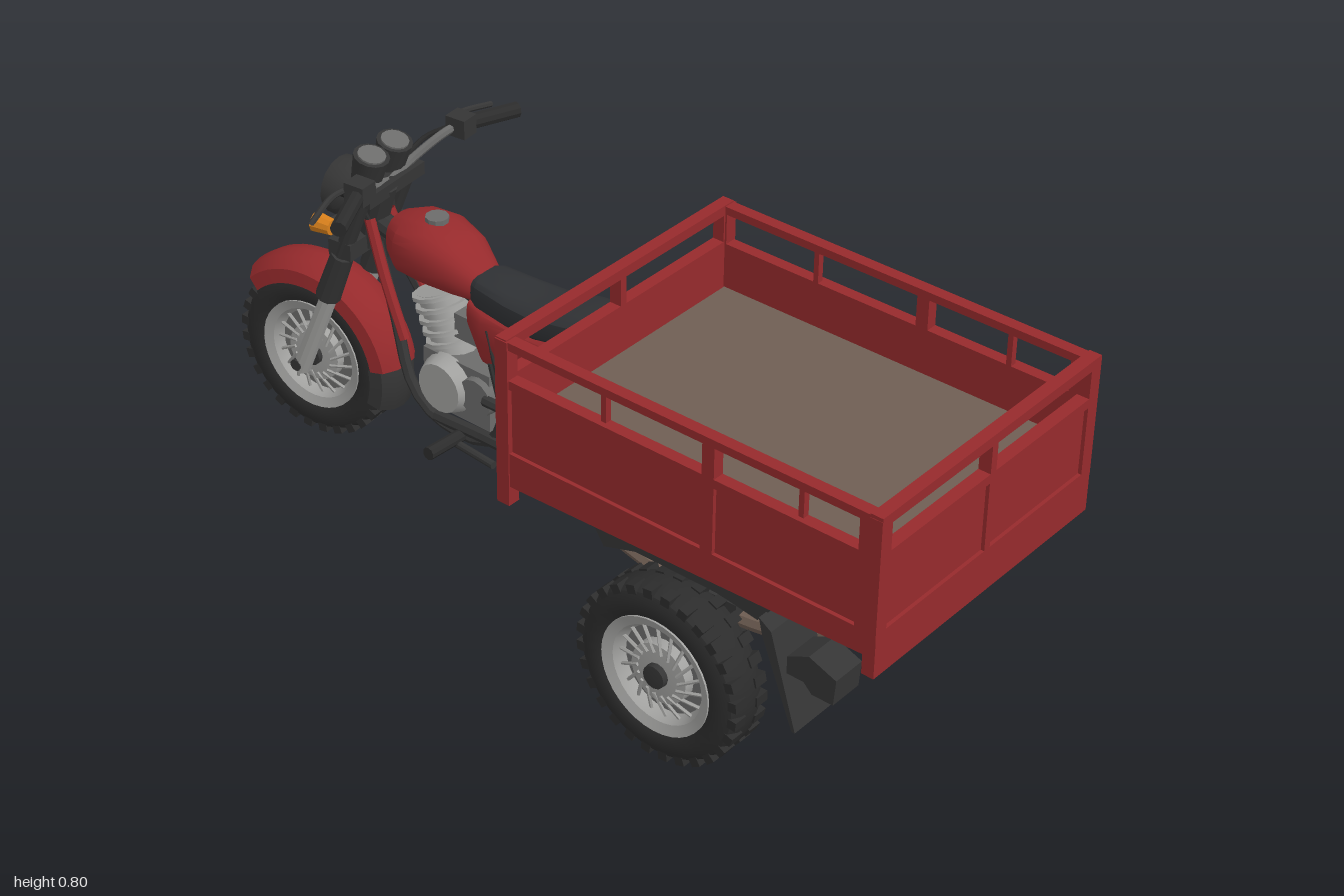
import * as THREE from 'three';
import { mergeGeometries, toCreasedNormals } from 'three/addons/utils/BufferGeometryUtils.js';

const V = (p) => new THREE.Vector3(...p);

export function createModel() {
  const mat = (name, color, side = THREE.FrontSide) => {
    const m = new THREE.MeshStandardMaterial({ color, side });
    m.name = name;
    return m;
  };
  const red = mat('red paint', 0x962a2c, THREE.DoubleSide);
  const black = mat('black metal', 0x353535, THREE.DoubleSide);
  const rubber = mat('rubber', 0x2c2c2c);
  const leather = mat('seat vinyl', 0x303235);
  const silver = mat('silver metal', 0xa2a2a0);
  const grey = mat('dark grey metal', 0x6c6c6b);
  const brown = mat('brown boards', 0x6f5e53);
  const orange = mat('orange lens', 0xd8801c);
  const glass = mat('lamp glass', 0x98999a);

  // Helpers
  const add = (parent, name, geo, material) => {
    const mesh = new THREE.Mesh(toCreasedNormals(geo, 0.6), material);
    mesh.name = name;
    parent.add(mesh);
    return mesh;
  };
  const group = (parent, name, x = 0, y = 0, z = 0) => {
    const g = new THREE.Group();
    g.name = name;
    g.position.set(x, y, z);
    parent.add(g);
    return g;
  };
  const boxGeo = (x0, x1, y0, y1, z0, z1) => new THREE.BoxGeometry(x1 - x0, y1 - y0, z1 - z0)
    .translate((x0 + x1) / 2, (y0 + y1) / 2, (z0 + z1) / 2);
  const box = (parent, name, m, ...b) => add(parent, name, boxGeo(...b), m);
  const rodGeo = (a, b, r, r2 = r, n = 10) => {
    const d = V(b).sub(V(a));
    const q = new THREE.Quaternion().setFromUnitVectors(new THREE.Vector3(0, 1, 0), d.clone().normalize());
    return new THREE.CylinderGeometry(r2, r, d.length(), n).applyQuaternion(q).translate(...V(a).addScaledVector(d, 0.5).toArray());
  };
  const rod = (parent, name, m, a, b, r, r2, n) => add(parent, name, rodGeo(a, b, r, r2, n), m);
  const tube = (parent, name, m, pts, r) => add(parent, name,
    new THREE.TubeGeometry(new THREE.CatmullRomCurve3(pts.map(V)), 20, r, 7), m);
  const plate = (parent, name, m, pts, z0, z1) => add(parent, name,
    new THREE.ExtrudeGeometry(new THREE.Shape(pts.map((p) => new THREE.Vector2(...p))), { depth: z1 - z0, bevelEnabled: false })
      .translate(0, 0, z0), m);
  // Lathe turned so that its axis is z; angles are measured from +x
  const turned = (pts, n, from = 0, len = Math.PI * 2) => new THREE.LatheGeometry(
    pts.map((p) => new THREE.Vector2(...p)), n, from + Math.PI / 2, len).rotateX(Math.PI / 2);
  // Skin over rounded sections [x, bottom, top, half width]
  const loft = (parent, name, m, sections, power = 0.7, n = 16) => {
    const pos = [], idx = [];
    const bend = (v) => Math.sign(v) * Math.abs(v) ** power;
    for (const [x, y0, y1, w] of sections) for (let j = 0; j < n; j++) {
      const a = j / n * Math.PI * 2;
      pos.push(x, (y0 + y1) / 2 + (y1 - y0) / 2 * bend(Math.sin(a)), w * bend(Math.cos(a)));
    }
    const last = (sections.length - 1) * n;
    for (let i = 0; i < last; i += n) for (let j = 0; j < n; j++) {
      const k = (j + 1) % n;
      idx.push(i + j, i + n + j, i + n + k, i + j, i + n + k, i + k);
    }
    for (let j = 1; j < n - 1; j++) idx.push(0, j, j + 1, last, last + j + 1, last + j);
    const g = new THREE.BufferGeometry();
    g.setAttribute('position', new THREE.Float32BufferAttribute(pos, 3));
    g.setIndex(idx);
    return add(parent, name, g, m);
  };

  const model = new THREE.Group();
  model.name = 'cargo tricycle';

  // Wheels: treaded tyre, rim, spokes and hub
  const wheel = (parent, name, x, z, w) => {
    const g = group(parent, name, x, 0.205, z);
    add(g, 'tyre', turned([[0.12, -w * 0.7], [0.14, -w * 0.95], [0.17, -w], [0.187, -w * 0.85], [0.197, -w * 0.45], [0.198, 0],
      [0.197, w * 0.45], [0.187, w * 0.85], [0.17, w], [0.14, w * 0.95], [0.12, w * 0.7], [0.12, -w * 0.7]], 36), rubber);
    const lugs = [], spokes = [];
    for (let i = 0; i < 28; i++) for (const s of [-1, 1]) {
      lugs.push(boxGeo(0.176, 0.201, -0.011, 0.011, -w * 0.3, w * 0.3).translate(0, 0, s * w * 0.6)
        .rotateZ((i + (s > 0 ? 0.5 : 0)) / 28 * Math.PI * 2));
    }
    add(g, 'tread lugs', mergeGeometries(lugs), rubber);
    add(g, 'rim', turned([[0.112, -w * 0.8], [0.134, -w * 0.96], [0.134, w * 0.96], [0.112, w * 0.8], [0.1, w * 0.4],
      [0.1, -w * 0.4], [0.112, -w * 0.8]], 36), silver);
    for (let i = 0; i < 18; i++) for (const s of [-1, 1]) {
      const a = i / 18 * Math.PI * 2, b = a + 0.3 * s;
      spokes.push(rodGeo([0.05 * Math.cos(a), 0.05 * Math.sin(a), s * w * 0.75], [0.108 * Math.cos(b), 0.108 * Math.sin(b), s * w * 0.5], 0.004, 0.004, 5));
    }
    add(g, 'spokes', mergeGeometries(spokes), silver);
    add(g, 'wheel disc', turned([[0, -w * 0.3], [0.102, -w * 0.3], [0.102, w * 0.3], [0, w * 0.3]], 30), grey);
    add(g, 'brake drum', turned([[0, -w * 0.8], [0.068, -w * 0.7], [0.072, 0], [0.068, w * 0.7], [0, w * 0.8]], 24), silver);
    add(g, 'hub', turned([[0, -w * 1.05], [0.026, -w], [0.03, 0], [0.026, w], [0, w * 1.05]], 12), black);
  };
  for (const s of [-1, 1]) wheel(model, 'rearWheel', 0.52, s * 0.354, 0.054);

  // Cargo box
  const cargo = group(model, 'cargoBox');
  box(cargo, 'underbody', red, 0.09, 0.97, 0.46, 0.575, -0.335, 0.335);
  box(cargo, 'floor', brown, 0.1, 0.965, 0.575, 0.583, -0.33, 0.33);
  for (const s of [-1, 1]) {
    const side = group(cargo, 'sidePanel');
    const bar = (n, x0, x1, y0, y1, t = 0.352) => box(side, n, red, x0, x1, y0, y1, Math.min(s * 0.325, s * t), Math.max(s * 0.325, s * t));
    bar('panel', 0.08, 0.97, 0.5, 0.68, 0.343);
    plate(side, 'skirt', red, [[0.08, 0.435], [0.97, 0.46], [0.97, 0.515], [0.08, 0.515]], s * 0.337 - 0.015, s * 0.337 + 0.015);
    bar('panelLip', 0.08, 0.97, 0.667, 0.687);
    bar('topRail', 0.08, 0.97, 0.757, 0.775);
    bar('middleStile', 0.583, 0.612, 0.5, 0.77);
    bar('railPost', 0.328, 0.34, 0.68, 0.77, 0.34);
    bar('railPost', 0.8, 0.812, 0.68, 0.77, 0.34);
    bar('frontPost', 0.07, 0.102, 0.39, 0.775, 0.355);
    bar('rearPost', 0.945, 0.97, 0.46, 0.775);
  }
  const endPanel = (name, x0, x1, out, bottom) => {
    const g = group(cargo, name);
    const inset = out > 0 ? [x0, x1 - 0.008] : [x0 + 0.008, x1];
    box(g, 'panel', red, ...inset, 0.5, 0.68, -0.33, 0.33);
    box(g, 'skirt', red, x0, x1, bottom, 0.515, -0.352, 0.352);
    box(g, 'panelLip', red, x0, x1, 0.671, 0.692, -0.352, 0.352);
    box(g, 'topRail', red, x0, x1, 0.755, 0.778, -0.352, 0.352);
    for (const z of [-0.337, 0, 0.337]) box(g, 'stile', red, x0, x1, 0.5, 0.77, z - (z ? 0.016 : 0.009), z + (z ? 0.016 : 0.009));
  };
  endPanel('headboard', 0.07, 0.098, -1, 0.44);
  endPanel('tailgate', 0.967, 0.995, 1, 0.415);

  // Rear chassis with axle, leaf springs and mudflaps
  const chassis = group(model, 'chassis');
  for (const s of [-1, 1]) {
    plate(chassis, 'frameRail', black, [[0.1, 0.46], [0.95, 0.46], [0.86, 0.39], [0.74, 0.38], [0.64, 0.43], [0.4, 0.43], [0.3, 0.38], [0.24, 0.4]], s * 0.18 - 0.02, s * 0.18 + 0.02);
    tube(chassis, 'leafSpring', brown, [[0.1, 0.34, s * 0.18], [0.25, 0.28, s * 0.18], [0.5, 0.235, s * 0.18], [0.68, 0.26, s * 0.18], [0.8, 0.31, s * 0.18]], 0.018);
    box(chassis, 'springClamp', black, 0.48, 0.56, 0.16, 0.28, s * 0.18 - 0.022, s * 0.18 + 0.022);
    rod(chassis, 'springBolt', grey, [0.52, 0.14, s * 0.18], [0.52, 0.17, s * 0.18], 0.022);
    rod(chassis, 'springHanger', black, [0.8, 0.3, s * 0.18], [0.83, 0.42, s * 0.18], 0.02);
    rod(chassis, 'strut', black, [0.23, 0.25, s * 0.1], [0.27, 0.45, s * 0.17], 0.018);
    rod(chassis, 'shock', black, [0.52, 0.18, s * 0.24], [0.52, 0.28, s * 0.24], 0.017);
    tube(chassis, 'lowerRail', black, [[-0.4, 0.22, s * 0.06 - 0.03], [-0.2, 0.235, s * 0.07 - 0.03], [0.1, 0.25, s * 0.09 - 0.01], [0.36, 0.24, s * 0.1]], 0.015);
    plate(chassis, 'wheelArch', black, [[0.3, 0.46], [0.76, 0.46], [0.72, 0.41], [0.62, 0.425], [0.42, 0.425], [0.34, 0.4]], s * 0.3 - 0.045, s * 0.3 + 0.045);
    plate(chassis, 'mudflap', black, [[0.74, 0.44], [0.77, 0.42], [0.835, 0.21], [0.827, 0.21], [0.75, 0.4]], s * 0.308 - 0.06, s * 0.308 + 0.06);
    plate(chassis, 'rearLamp', black, [[0.8, 0.33], [0.84, 0.33], [0.86, 0.31], [0.91, 0.31], [0.915, 0.37], [0.85, 0.395], [0.8, 0.37]], s * 0.315 - 0.04, s * 0.315 + 0.04);
    rod(chassis, 'lampBracket', black, [0.83, 0.35, s * 0.2], [0.83, 0.35, s * 0.3], 0.012);
  }
  rod(chassis, 'axle', black, [0.52, 0.205, -0.34], [0.52, 0.205, 0.34], 0.022);
  loft(chassis, 'differential', black, [[0.42, 0.17, 0.24, 0.02], [0.47, 0.145, 0.26, 0.05], [0.56, 0.145, 0.26, 0.05], [0.61, 0.17, 0.24, 0.02]]);
  rod(chassis, 'driveShaft', black, [-0.2, 0.27, -0.03], [0.45, 0.21, 0], 0.016);
  box(chassis, 'rearCrossBeam', black, 0.78, 0.83, 0.315, 0.38, -0.2, 0.2);
  box(chassis, 'frontCrossBeam', black, 0.2, 0.25, 0.39, 0.45, -0.2, 0.2);
  box(chassis, 'lowerCrossBeam', black, 0.2, 0.24, 0.23, 0.27, -0.13, 0.13);
  rod(chassis, 'muffler', brown, [0.02, 0.25, -0.13], [0.36, 0.29, -0.14], 0.026, 0.032, 12);

  // Motorcycle body
  const bike = group(model, 'motorcycle', 0, 0, -0.03);
  loft(bike, 'fuelTank', red, [[-0.555, 0.575, 0.625, 0.025], [-0.545, 0.545, 0.65, 0.05], [-0.5, 0.53, 0.667, 0.08], [-0.43, 0.53, 0.672, 0.086],
    [-0.36, 0.53, 0.65, 0.072], [-0.31, 0.53, 0.61, 0.05], [-0.29, 0.53, 0.59, 0.035]], 0.8, 20);
  rod(bike, 'fuelCap', grey, [-0.44, 0.665, 0], [-0.44, 0.679, 0], 0.026);
  loft(bike, 'seat', leather, [[-0.32, 0.535, 0.595, 0.04], [-0.29, 0.525, 0.603, 0.055], [-0.2, 0.52, 0.6, 0.066], [-0.12, 0.525, 0.602, 0.072],
    [-0.03, 0.545, 0.622, 0.076], [0.015, 0.56, 0.628, 0.072], [0.035, 0.575, 0.615, 0.055]], 0.6);
  loft(bike, 'sideCover', red, [[-0.32, 0.47, 0.54, 0.045], [-0.27, 0.4, 0.535, 0.062], [-0.18, 0.395, 0.53, 0.068], [-0.1, 0.415, 0.53, 0.068], [-0.02, 0.5, 0.56, 0.055]], 0.5);
  rod(bike, 'backbone', black, [-0.6, 0.6, 0], [-0.28, 0.52, 0], 0.025);
  rod(bike, 'headTube', black, [-0.64, 0.54, 0], [-0.59, 0.7, 0], 0.028);
  for (const s of [-1, 1]) {
    tube(bike, 'cradle', black, [[-0.6, 0.56, s * 0.02], [-0.53, 0.42, s * 0.045], [-0.47, 0.27, s * 0.06], [-0.4, 0.215, s * 0.06], [-0.25, 0.22, s * 0.06], [-0.2, 0.33, s * 0.06], [-0.25, 0.5, s * 0.05]], 0.013);
    tube(bike, 'redDownTube', red, [[-0.61, 0.62, s * 0.03], [-0.56, 0.5, s * 0.042], [-0.5, 0.37, s * 0.05]], 0.013);
    rod(bike, 'rearPost', black, [-0.02, 0.55, s * 0.05], [-0.02, 0.26, s * 0.07], 0.014);
    rod(bike, 'rearStay', black, [-0.24, 0.42, s * 0.05], [-0.17, 0.25, s * 0.07], 0.014);
    tube(bike, 'upperStay', black, [[-0.25, 0.33, s * 0.07], [-0.1, 0.33, s * 0.07], [0.1, 0.34, s * 0.08], [0.24, 0.33, s * 0.1]], 0.013);
    rod(bike, 'footPeg', rubber, [-0.32, 0.21, s * 0.07], [-0.32, 0.215, s * 0.175], 0.015);
    rod(bike, 'pedal', black, [-0.32, 0.2, s * 0.09], [-0.2, 0.2, s * 0.1], 0.009);
    rod(bike, 'engineCover', silver, [-0.37, 0.315, s * 0.05], [-0.37, 0.315, s * 0.085], 0.072, 0.058, 18);
    rod(bike, 'clutchCover', grey, [-0.28, 0.32, s * 0.03], [-0.28, 0.32, s * 0.07], 0.05, 0.045, 14);
  }
  box(bike, 'crankcase', grey, -0.44, -0.25, 0.24, 0.38, -0.055, 0.055);
  rod(bike, 'cylinder', silver, [-0.39, 0.36, 0], [-0.44, 0.5, 0], 0.05, 0.05, 12);
  for (let i = 0; i < 5; i++) {
    rod(bike, 'coolingFin', silver, [-0.401 - i * 0.009, 0.39 + i * 0.025, 0], [-0.404 - i * 0.009, 0.399 + i * 0.025, 0], 0.062, 0.062, 12);
  }
  box(bike, 'carburettor', grey, -0.37, -0.29, 0.42, 0.48, -0.03, 0.03);
  tube(bike, 'exhaust', grey, [[-0.46, 0.44, -0.03], [-0.52, 0.38, -0.06], [-0.47, 0.26, -0.09], [-0.3, 0.22, -0.1], [0.05, 0.25, -0.1]], 0.017);

  // Steered front end: wheel, fork, mudguard, lamp and handlebar
  const steering = group(model, 'frontEnd', -0.72, 0, -0.033);
  steering.rotation.y = 0.1;
  const front = group(steering, 'steeredParts', 0.72, 0, 0);
  wheel(front, 'frontWheel', -0.8, 0, 0.048);
  const guard = [[0.185, -0.062], [0.218, -0.058], [0.238, -0.03], [0.243, 0], [0.238, 0.03], [0.218, 0.058], [0.185, 0.062]];
  add(front, 'mudguard', turned(guard, 22, 0.16, 2.2).translate(-0.8, 0.205, 0), red);
  add(front, 'mudguardFlap', turned(guard.map(([r, z]) => [r * 0.97, z]), 6, -0.32, 0.5).translate(-0.8, 0.205, 0), black);
  for (const s of [-1, 1]) {
    const z = s * 0.078;
    rod(front, 'forkSlider', silver, [-0.8, 0.19, z], [-0.7, 0.43, z], 0.021, 0.019);
    rod(front, 'forkBoot', black, [-0.712, 0.41, z], [-0.665, 0.53, z], 0.029, 0.026);
    rod(front, 'forkTube', black, [-0.67, 0.52, z], [-0.595, 0.71, z], 0.019);
    rod(front, 'signalStalk', black, [-0.65, 0.635, s * 0.05], [-0.66, 0.635, s * 0.12], 0.008);
    rod(front, 'turnSignal', orange, [-0.685, 0.635, s * 0.138], [-0.64, 0.635, s * 0.138], 0.023, 0.018);
    tube(front, 'handlebar', grey, [[-0.59, 0.7, 0], [-0.59, 0.715, s * 0.06], [-0.55, 0.765, s * 0.14], [-0.53, 0.778, s * 0.18], [-0.485, 0.77, s * 0.3]], 0.01);
    rod(front, 'grip', rubber, [-0.522, 0.775, s * 0.2], [-0.48, 0.768, s * 0.31], 0.018);
    box(front, 'switchBox', black, -0.555, -0.505, 0.755, 0.8, s * 0.175 - 0.022, s * 0.175 + 0.022);
    tube(front, 'lever', black, [[-0.55, 0.78, s * 0.17], [-0.565, 0.775, s * 0.22], [-0.55, 0.76, s * 0.31]], 0.007);
    tube(front, 'cable', rubber, [[-0.55, 0.77, s * 0.17], [-0.61, 0.73, s * 0.14], [-0.63, 0.66, s * 0.06], [-0.6, 0.56, s * 0.03]], 0.006);
  }
  rod(front, 'axle', black, [-0.8, 0.205, -0.1], [-0.8, 0.205, 0.1], 0.014);
  box(front, 'lowerYoke', black, -0.69, -0.63, 0.53, 0.57, -0.095, 0.095);
  box(front, 'upperYoke', black, -0.63, -0.57, 0.68, 0.71, -0.095, 0.095);
  loft(front, 'headlampShell', black, [[-0.728, 0.585, 0.715, 0.068], [-0.7, 0.583, 0.717, 0.07], [-0.665, 0.6, 0.705, 0.056], [-0.63, 0.63, 0.685, 0.03]], 1);
  loft(front, 'headlampGlass', glass, [[-0.738, 0.612, 0.688, 0.038], [-0.732, 0.592, 0.708, 0.06], [-0.726, 0.592, 0.708, 0.06]], 1);
  for (const s of [-1, 1]) {
    rod(front, 'instrument', black, [-0.625, 0.7, s * 0.04], [-0.605, 0.775, s * 0.04], 0.032, 0.04, 14);
    rod(front, 'dial', grey, [-0.6056, 0.773, s * 0.04], [-0.604, 0.779, s * 0.04], 0.031, 0.031, 14);
  }
  return model;
}
